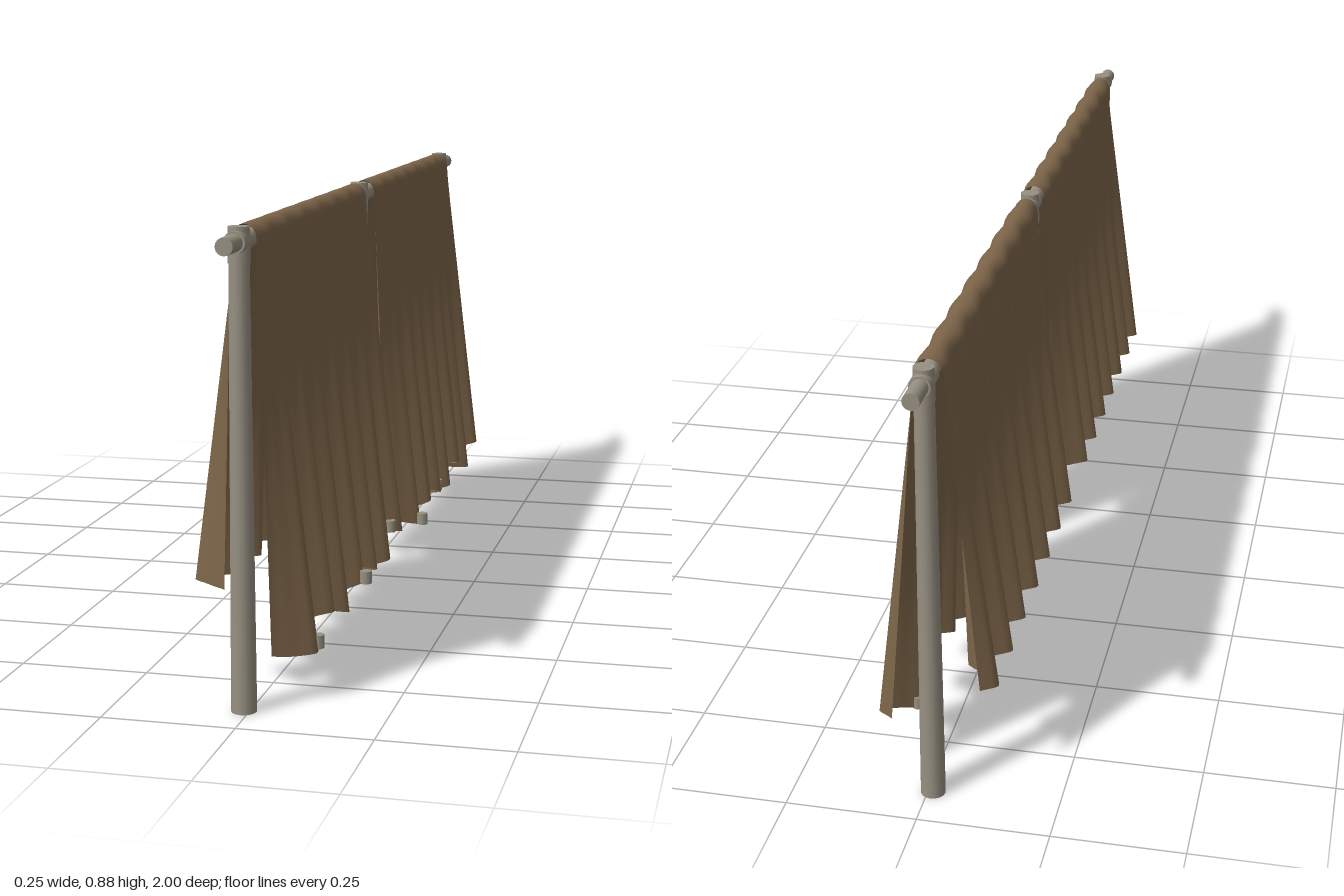
import * as THREE from 'three';

const CX = -0.01;      // centre line of the frame
const RAIL_Y = 0.848;  // height of the rail
const FOLD = 0.123;    // spacing of the cloth folds

// Fold wave (-1..1) with slightly sharpened crests
function fold(z, crest) {
  const a = (2 * Math.PI * (z - crest)) / FOLD;
  return (Math.cos(a) + 0.1 * Math.cos(3 * a)) / 1.1;
}

// Wavy hem on the +x side, level hem on the -x side
function hemY(z, side, hemCrest) {
  return side > 0 ? 0.11 + 0.021 * Math.cos((2 * Math.PI * (z - hemCrest)) / 0.293) : 0.214;
}

// Distance of the hanging cloth from the centre line; t runs 0 at the rail to 1 at the hem
function spread(z, t, crest) {
  return 0.026 + 0.053 * t + (0.003 + 0.034 * t) * fold(z, crest);
}

// One curtain, draped over the rail and hanging on both sides
function makeCurtain(z0, z1, crest, hemCrest, material) {
  const hang = 22, arc = 10, rows = 2 * hang + arc, cols = 112;
  const geo = new THREE.PlaneGeometry(1, 1, cols, rows);
  const pos = geo.attributes.position;
  for (let j = 0; j <= rows; j++) {
    for (let i = 0; i <= cols; i++) {
      const z = z1 + ((z0 - z1) * i) / cols;
      let x, y;
      if (j >= hang && j <= hang + arc) {
        const a = (Math.PI * (j - hang)) / arc;
        x = -Math.cos(a) * spread(z, 0, crest);
        y = RAIL_Y + 0.027 * Math.sin(a);
      } else {
        const side = j < hang ? -1 : 1;
        const t = side < 0 ? 1 - j / hang : (j - hang - arc) / hang;
        x = side * spread(z, t, crest);
        y = RAIL_Y + (hemY(z, side, hemCrest) - RAIL_Y) * t;
      }
      pos.setXYZ(j * (cols + 1) + i, CX + x, y, z);
    }
  }
  geo.computeVertexNormals();
  const mesh = new THREE.Mesh(geo, material);
  mesh.name = 'curtain';
  return mesh;
}

function cylinder(name, rTop, rBottom, length, material, sides = 16) {
  const mesh = new THREE.Mesh(new THREE.CylinderGeometry(rTop, rBottom, length, sides), material);
  mesh.name = name;
  return mesh;
}

export function createModel() {
  const group = new THREE.Group();
  group.name = 'curtainScreen';
  const cloth = new THREE.MeshStandardMaterial({ color: 0x7d6549, side: THREE.DoubleSide });
  cloth.name = 'brown cloth';
  const wood = new THREE.MeshStandardMaterial({ color: 0x979082 });
  wood.name = 'weathered grey wood';

  // Long rail
  const rail = cylinder('rail', 0.016, 0.016, 2, wood);
  rail.rotation.x = Math.PI / 2;
  rail.position.set(CX, RAIL_Y, 0);
  group.add(rail);

  // Tapered posts, each with a cap and a collar around the rail
  for (const z of [-0.91, 0, 0.91]) {
    const post = cylinder('post', 0.0185, 0.0235, 0.83, wood);
    post.position.set(CX, 0.415, z);
    const cap = cylinder('postCap', 0.019, 0.02, 0.064, wood);
    cap.position.set(CX, 0.842, z);
    const collar = cylinder('railCollar', 0.02, 0.02, 0.06, wood);
    collar.rotation.x = Math.PI / 2;
    collar.position.set(CX, RAIL_Y, z);
    group.add(post, cap, collar);
  }

  // Two curtains with small weights along the long hem
  const panels = [
    { z0: 0.04, z1: 0.88, crest: 0.085, hemCrest: 0.11, weights: [0.11, 0.285, 0.46, 0.635, 0.81] },
    { z0: -0.88, z1: -0.04, crest: -0.116, hemCrest: -0.29, weights: [-0.11, -0.283, -0.455, -0.63, -0.8] },
  ];
  for (const p of panels) {
    group.add(makeCurtain(p.z0, p.z1, p.crest, p.hemCrest, cloth));
    for (const z of p.weights) {
      const weight = cylinder('hemWeight', 0.012, 0.012, 0.025, wood, 10);
      weight.position.set(CX + spread(z, 1, p.crest) + 0.008, hemY(z, 1, p.hemCrest) + 0.014, z);
      group.add(weight);
    }
  }
  return group;
}
